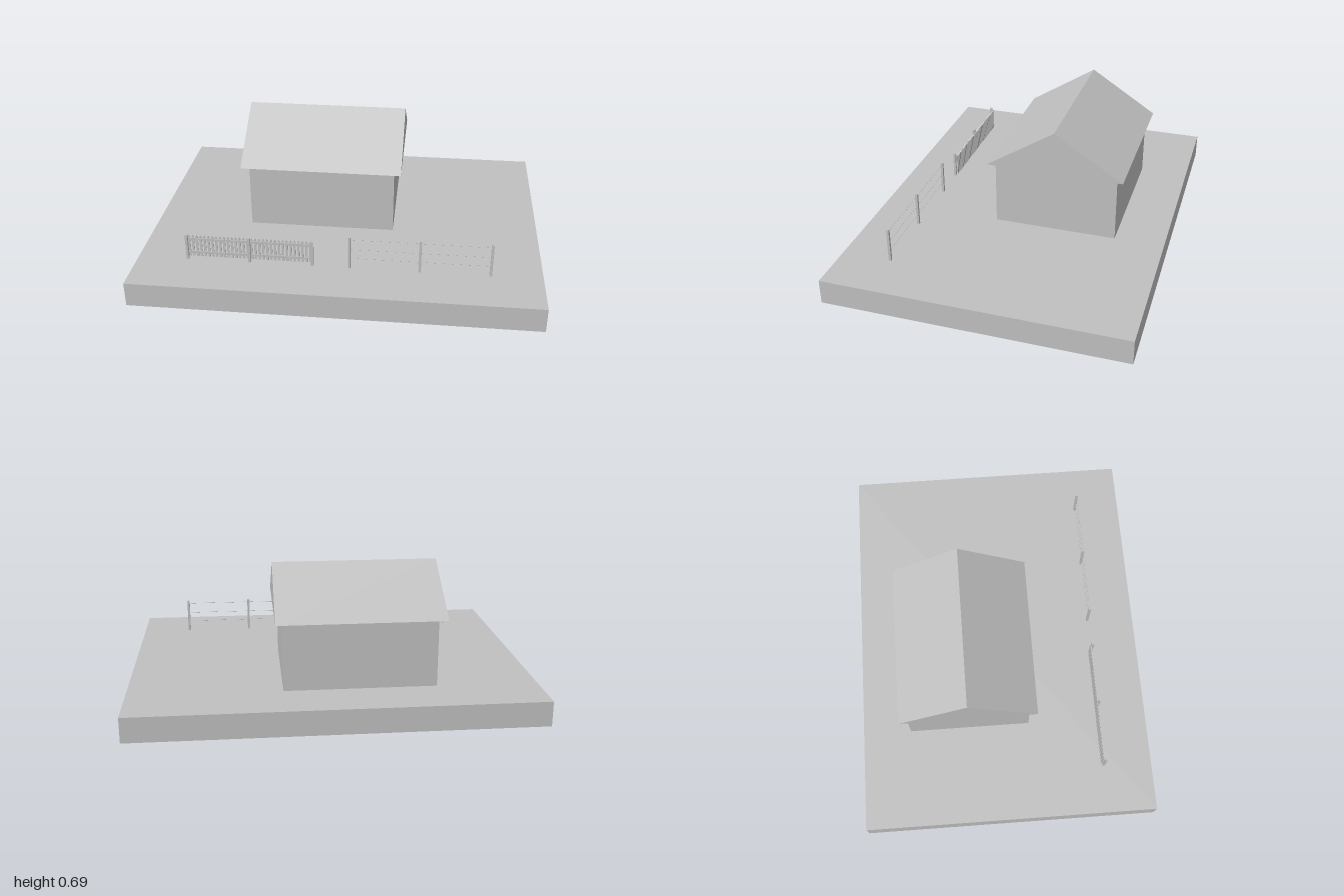
import * as THREE from 'three';

export function createModel() {
  const root = new THREE.Group();
  const grey = new THREE.MeshStandardMaterial({ color: 0xc0c0c0 });
  grey.name = 'plain grey';

  const add = (parent, name, geometry, x = 0, y = 0, z = 0) => {
    const mesh = new THREE.Mesh(geometry, grey);
    mesh.name = name;
    mesh.position.set(x, y, z);
    parent.add(mesh);
    return mesh;
  };
  // Box standing on height y
  const box = (parent, name, w, h, d, x, y, z) =>
    add(parent, name, new THREE.BoxGeometry(w, h, d), x, y + h / 2, z);
  const group = (name) => {
    const g = new THREE.Group();
    g.name = name;
    root.add(g);
    return g;
  };

  // Ground slab
  const ground = 0.125;
  box(root, 'groundSlab', 2, ground, 1.5, 0, 0, 0);

  // House: walls and a gabled roof with its ridge along x
  const house = group('house');
  box(house, 'walls', 0.75, 0.34, 0.625, -0.125, ground, -0.1875);
  const gable = new THREE.Shape();
  gable.moveTo(-0.347, 0);
  gable.lineTo(0.347, 0);
  gable.lineTo(0, 0.222);
  gable.closePath();
  const roofGeometry = new THREE.ExtrudeGeometry(gable, { depth: 0.825, bevelEnabled: false });
  roofGeometry.translate(0, 0, -0.4125);
  roofGeometry.rotateY(Math.PI / 2);
  add(house, 'roof', roofGeometry, -0.127, 0.465, -0.1875);

  // Picket fence: three posts, two rails and pointed pickets behind them
  const picketFence = group('picketFence');
  const first = -0.75, bay = 0.3125;
  for (let i = 0; i < 3; i++) {
    box(picketFence, 'picketPost', 0.0125, 0.1375, 0.0125, first + i * bay, ground, 0.5);
  }
  for (const y of [0.153, 0.228]) {
    box(picketFence, 'rail', 2 * bay, 0.0125, 0.004, first + bay, y, 0.4915);
  }
  const outline = new THREE.Shape();
  outline.moveTo(-0.00575, 0);
  outline.lineTo(0.00575, 0);
  outline.lineTo(0.00575, 0.109);
  outline.lineTo(0, 0.119);
  outline.lineTo(-0.00575, 0.109);
  outline.closePath();
  const picketGeometry = new THREE.ExtrudeGeometry(outline, { depth: 0.004, bevelEnabled: false });
  const perBay = 16;
  for (let i = 0; i < 2 * perBay; i++) {
    add(picketFence, 'picket', picketGeometry, first + (i + 0.5) * bay / perBay, 0.135, 0.4855);
  }

  // Wire fence: three taller posts joined by thin wires
  const wireFence = group('wireFence');
  const posts = [0.06, 0.4035, 0.747];
  for (const x of posts) {
    box(wireFence, 'wirePost', 0.0125, 0.175, 0.0125, x, ground, 0.5);
  }
  for (const y of [0.18, 0.23, 0.285]) {
    const wire = new THREE.CylinderGeometry(0.0008, 0.0008, posts[2] - posts[0], 6);
    wire.rotateZ(Math.PI / 2);
    add(wireFence, 'wire', wire, posts[1], y, 0.5);
  }

  return root;
}
